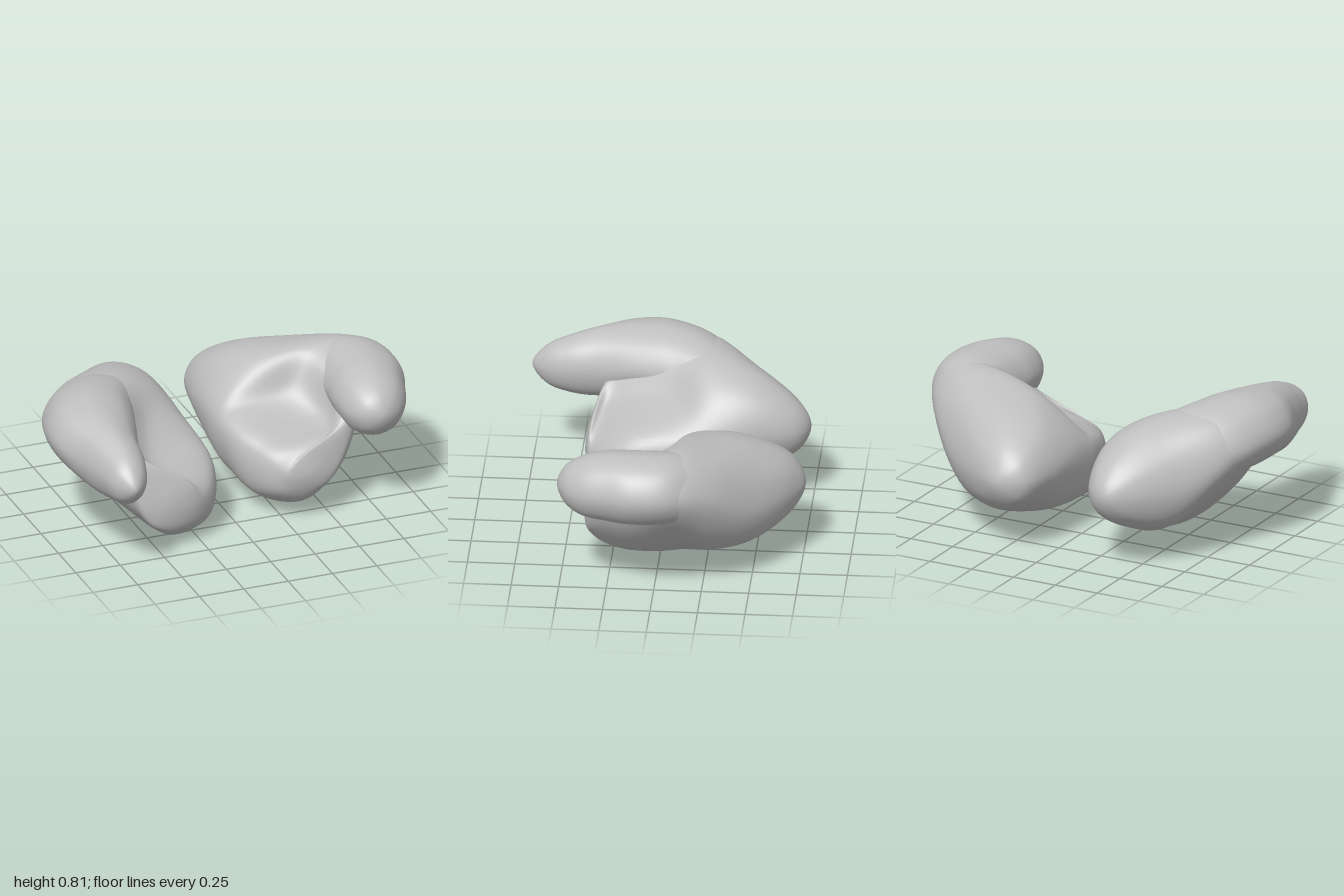
import * as THREE from 'three';

const N = 8; // landmarks per cross-section, counter-clockwise from the outer edge
const V = (x, y, z) => new THREE.Vector3(x, y, z);

// Cross-section given by landmark points [x, y, x, y, ...] at depth z
const section = (z, p) => Array.from({ length: N }, (_, i) => V(p[2 * i], p[2 * i + 1], z));

// Oval cross-section at depth z
const oval = (z, cx, cy, rx, ry) => Array.from({ length: N }, (_, i) => {
  const a = (i / N) * Math.PI * 2;
  return V(cx + rx * Math.cos(a), cy + ry * Math.sin(a), z);
});

// Smooth closed skin over cross-sections from the back pole to the front pole;
// side is 1 for the left half, -1 to mirror it to the right half
function skin(side, back, sections, front) {
  const rows = 90, cols = 100;
  // each lengthwise curve returns along the opposite landmark, so the poles stay round
  const lines = Array.from({ length: N }, (_, i) => new THREE.CatmullRomCurve3([
    back, ...sections.map(s => s[i]), front, ...sections.map(s => s[(i + N / 2) % N]).reverse(),
  ], true, 'centripetal'));
  const pos = [], index = [];
  const add = v => pos.push(side * v.x, v.y, v.z);
  const id = (r, c) => (r === 0 ? 0 : r === rows ? 1 : 2 + (r - 1) * cols + (c % cols));
  add(back);
  add(front);
  for (let r = 1; r < rows; r++) {
    const ring = new THREE.CatmullRomCurve3(lines.map(l => l.getPoint(0.5 * r / rows)), true, 'centripetal');
    for (let c = 0; c < cols; c++) add(ring.getPoint(c / cols));
  }
  const tri = (a, b, c) => {
    if (a === b || b === c || a === c) return;
    if (side > 0) index.push(a, b, c);
    else index.push(a, c, b);
  };
  for (let r = 0; r < rows; r++) {
    for (let c = 0; c < cols; c++) {
      const a = id(r, c), b = id(r, c + 1), d = id(r + 1, c), e = id(r + 1, c + 1);
      tri(a, b, e);
      tri(a, e, d);
    }
  }
  const geo = new THREE.BufferGeometry();
  geo.setAttribute('position', new THREE.Float32BufferAttribute(pos, 3));
  geo.setIndex(index);
  geo.computeVertexNormals();
  return geo;
}

export function createModel() {
  const group = new THREE.Group();
  const grey = new THREE.MeshStandardMaterial({ color: 0xbfbfbf });
  grey.name = 'stone grey';

  const addPart = (name, geo) => {
    const mesh = new THREE.Mesh(geo, grey);
    mesh.name = name;
    group.add(mesh);
  };

  // Left body: broad back, hollow on top, short rounded lower lobe in front
  addPart('leftBody', skin(1, V(0.23, 0.4, -0.76), [
    oval(-0.7, 0.235, 0.4, 0.145, 0.135),
    oval(-0.5, 0.34, 0.41, 0.31, 0.26),
    section(-0.3, [0.85, 0.56, 0.72, 0.71, 0.46, 0.735, 0.2, 0.67, 0.02, 0.45, 0.1, 0.17, 0.35, 0.09, 0.7, 0.25]),
    section(-0.13, [0.955, 0.61, 0.83, 0.76, 0.53, 0.765, 0.28, 0.67, 0.03, 0.45, 0.08, 0.16, 0.33, 0.06, 0.75, 0.3]),
    section(-0.04, [0.95, 0.62, 0.82, 0.75, 0.57, 0.73, 0.42, 0.56, 0.045, 0.45, 0.09, 0.15, 0.34, 0.045, 0.74, 0.3]),
    section(0.1, [0.82, 0.58, 0.75, 0.68, 0.6, 0.67, 0.5, 0.49, 0.08, 0.42, 0.1, 0.14, 0.34, 0.035, 0.68, 0.28]),
    section(0.2, [0.72, 0.55, 0.68, 0.63, 0.6, 0.61, 0.52, 0.47, 0.13, 0.39, 0.13, 0.14, 0.35, 0.045, 0.63, 0.28]),
    section(0.32, [0.63, 0.46, 0.61, 0.52, 0.56, 0.51, 0.48, 0.45, 0.2, 0.35, 0.19, 0.18, 0.36, 0.1, 0.56, 0.26]),
    oval(0.375, 0.37, 0.275, 0.12, 0.1),
  ], V(0.36, 0.27, 0.395)));

  // Left upper lobe: blunt finger hooking forward around the hollow
  addPart('leftUpperLobe', skin(1, V(0.6, 0.55, -0.45), [
    oval(-0.3, 0.62, 0.56, 0.19, 0.15),
    oval(-0.1, 0.76, 0.607, 0.215, 0.183),
    oval(0.1, 0.78, 0.61, 0.22, 0.19),
    oval(0.25, 0.755, 0.605, 0.2, 0.183),
    oval(0.38, 0.74, 0.595, 0.165, 0.155),
    oval(0.47, 0.73, 0.595, 0.1, 0.095),
  ], V(0.73, 0.6, 0.51)));

  // Right body: broad back and flat-fronted lower lobe
  addPart('rightBody', skin(-1, V(0.4, 0.42, -0.74), [
    oval(-0.68, 0.4, 0.415, 0.12, 0.125),
    oval(-0.45, 0.455, 0.43, 0.275, 0.265),
    section(-0.2, [0.9, 0.57, 0.8, 0.73, 0.51, 0.755, 0.28, 0.64, 0.125, 0.42, 0.16, 0.19, 0.36, 0.08, 0.73, 0.29]),
    section(0, [0.93, 0.6, 0.82, 0.74, 0.55, 0.72, 0.4, 0.58, 0.12, 0.42, 0.13, 0.14, 0.36, 0.025, 0.74, 0.28]),
    section(0.2, [0.82, 0.55, 0.74, 0.66, 0.6, 0.64, 0.47, 0.52, 0.13, 0.39, 0.13, 0.1, 0.36, 0, 0.68, 0.26]),
    section(0.34, [0.68, 0.48, 0.66, 0.55, 0.6, 0.55, 0.5, 0.46, 0.18, 0.32, 0.19, 0.11, 0.4, 0.04, 0.62, 0.24]),
    oval(0.425, 0.42, 0.25, 0.15, 0.14),
  ], V(0.43, 0.25, 0.45)));

  // Right upper lobe: long tapering ridge reaching forward
  addPart('rightUpperLobe', skin(-1, V(0.5, 0.52, -0.45), [
    oval(-0.25, 0.62, 0.57, 0.25, 0.175),
    oval(0, 0.73, 0.61, 0.255, 0.2),
    oval(0.2, 0.77, 0.61, 0.23, 0.19),
    oval(0.4, 0.765, 0.575, 0.165, 0.19),
    oval(0.55, 0.755, 0.56, 0.13, 0.16),
    oval(0.68, 0.76, 0.55, 0.085, 0.105),
  ], V(0.76, 0.55, 0.755)));

  return group;
}
